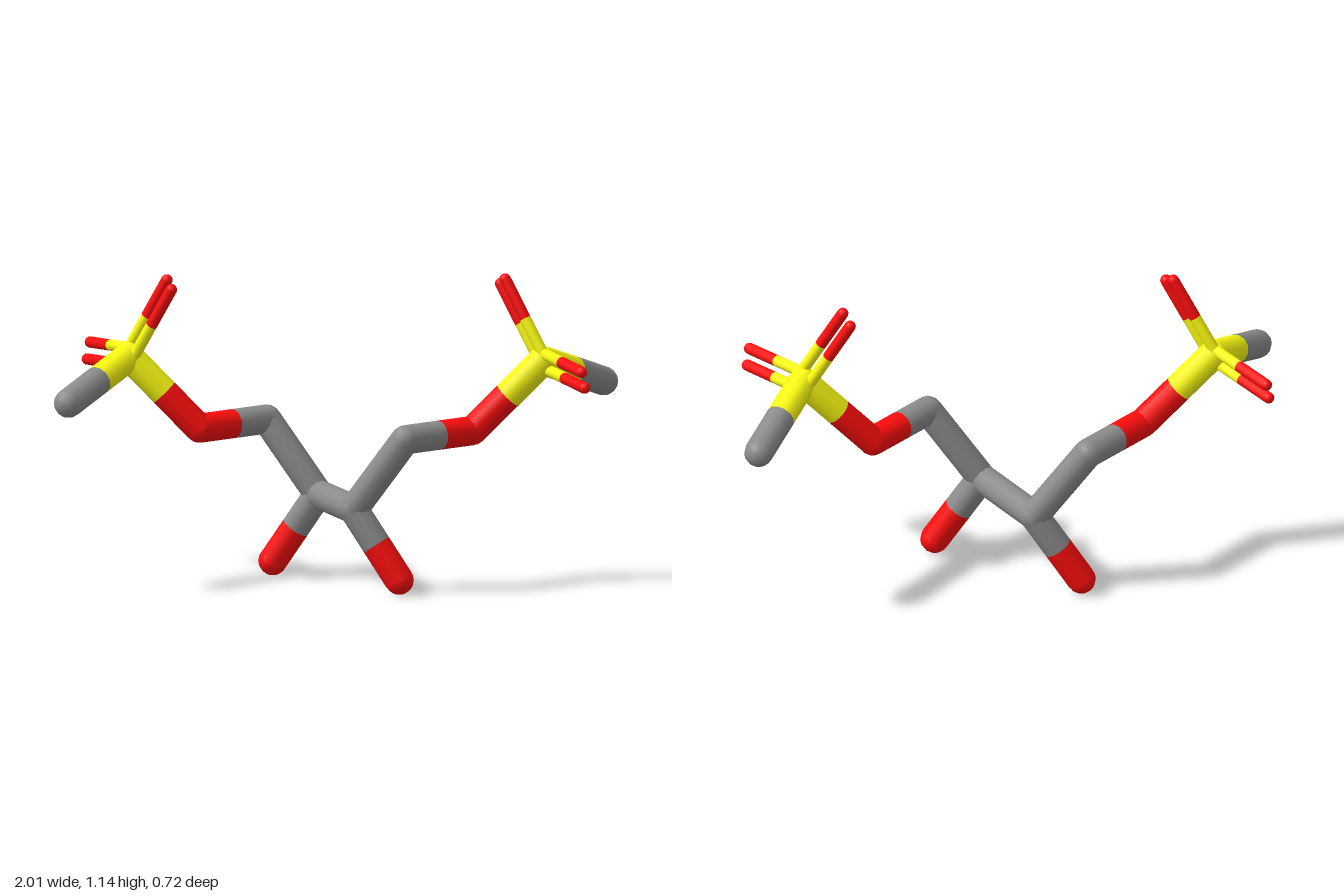
import * as THREE from 'three';

const R = 0.053, THIN = 0.021;
const mat = (color) => new THREE.MeshStandardMaterial({ color });
const materials = { C: mat(0x8c8c8c), O: mat(0xff0d0d), S: mat(0xffff12) };
const UP = new THREE.Vector3(0, 1, 0);

// Atoms of one half: element and position
const atoms = {
  innerCarbon: ['C', 0.075, 0.305, 0.16],
  hydroxylOxygen: ['O', 0.242, 0.052, 0.193],
  outerCarbon: ['C', 0.265, 0.57, 0.205],
  bridgeOxygen: ['O', 0.495, 0.57, -0.008],
  sulfur: ['S', 0.75, 0.83, -0.008],
  methylCarbon: ['C', 0.95, 0.707, -0.305],
};
const bonds = [
  ['innerCarbon', 'hydroxylOxygen'],
  ['innerCarbon', 'outerCarbon'],
  ['outerCarbon', 'bridgeOxygen'],
  ['bridgeOxygen', 'sulfur'],
  ['sulfur', 'methylCarbon'],
];
// Double bonds on the sulfur: oxygen end and sideways offset of each stick
const doubles = [
  { end: [0.6, 1.107, -0.078], offset: [0.01, 0.013, 0.027] },
  { end: [0.913, 0.805, 0.257], offset: [0.005, -0.03, -0.007] },
];
const pos = (name) => new THREE.Vector3(...atoms[name].slice(1));

// Plain stick from a to b
function stick(name, a, b, radius, element) {
  const d = b.clone().sub(a);
  const geo = new THREE.CylinderGeometry(radius, radius, d.length(), 12, 1, true);
  const mesh = new THREE.Mesh(geo, materials[element]);
  mesh.name = name;
  mesh.position.copy(a).addScaledVector(d, 0.5);
  mesh.quaternion.setFromUnitVectors(UP, d.normalize());
  return mesh;
}

// Rounded joint or end
function ball(name, p, radius, element) {
  const mesh = new THREE.Mesh(new THREE.SphereGeometry(radius, 12, 8), materials[element]);
  mesh.name = name;
  mesh.position.copy(p);
  return mesh;
}

// Bond in two halves, each in the colour of its own atom
function bond(name, a, b, radius, elA, elB) {
  const g = new THREE.Group();
  g.name = name;
  const mid = a.clone().lerp(b, 0.5);
  g.add(stick(name + 'Start', a, mid, radius, elA), stick(name + 'End', mid, b, radius, elB));
  return g;
}

function buildHalf(name) {
  const half = new THREE.Group();
  half.name = name;
  for (const key in atoms) half.add(ball(key, pos(key), R, atoms[key][0]));
  for (const [a, b] of bonds) {
    half.add(bond(`${a}Bond`, pos(a), pos(b), R, atoms[a][0], atoms[b][0]));
  }
  // Pairs of thin parallel sticks
  for (const { end, offset } of doubles) {
    for (const side of [-1, 1]) {
      const shift = new THREE.Vector3(...offset).multiplyScalar(side);
      const a = pos('sulfur').add(shift);
      const b = new THREE.Vector3(...end).add(shift);
      half.add(bond('doubleBond', a, b, THIN, 'S', 'O'));
      half.add(ball('doubleBondRoot', a, THIN, 'S'), ball('doubleBondTip', b, THIN, 'O'));
    }
  }
  return half;
}

export function createModel() {
  const model = new THREE.Group();
  model.name = 'stickMolecule';
  // Second half is the first turned half way round the vertical axis
  const left = buildHalf('leftHalf');
  const right = buildHalf('rightHalf');
  right.rotation.y = Math.PI;
  const a = pos('innerCarbon');
  const b = new THREE.Vector3(-a.x, a.y, -a.z);
  model.add(left, right, stick('centralBond', a, b, R, 'C'));
  return model;
}
